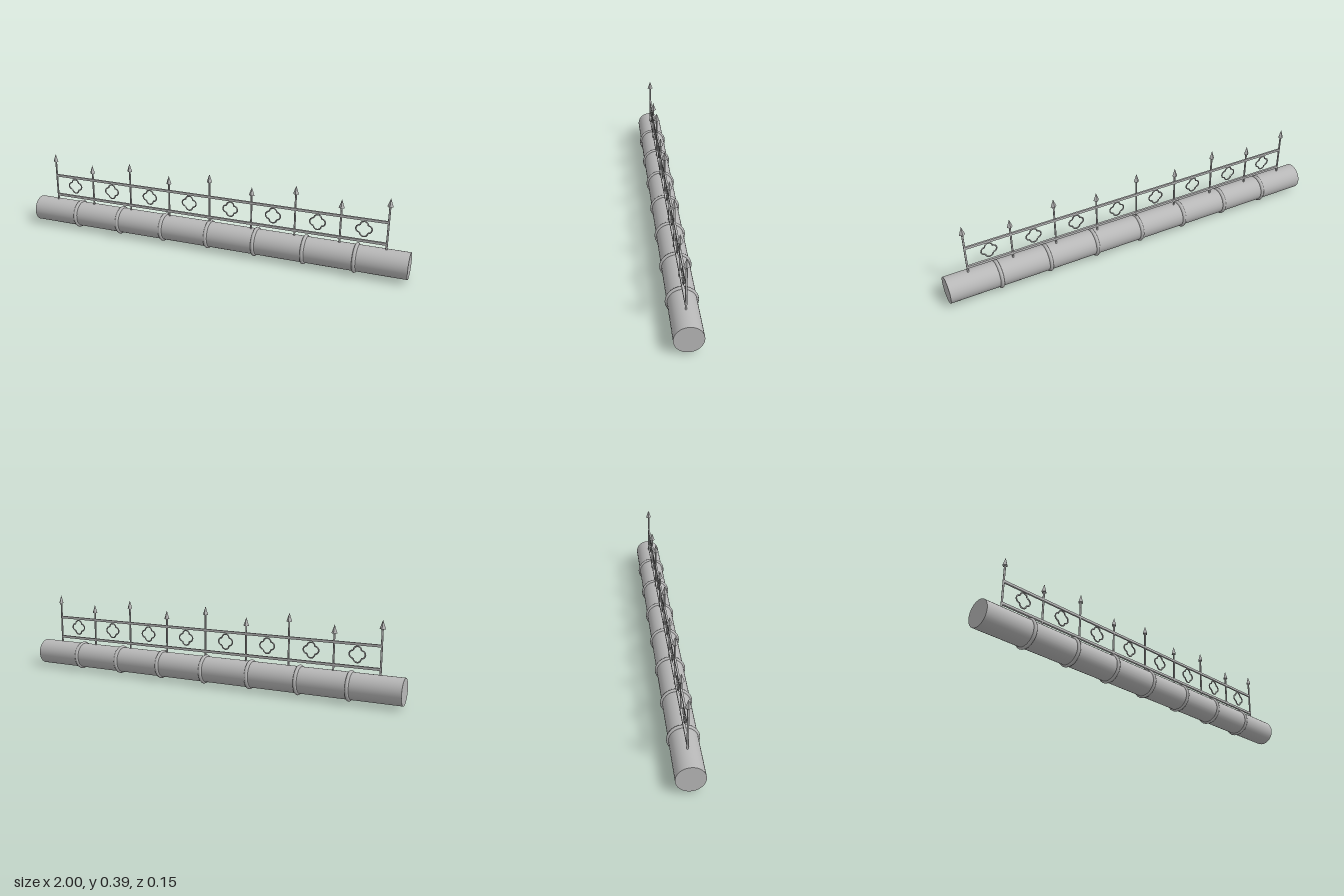
import * as THREE from 'three';

export function createModel() {
  const group = new THREE.Group();
  const metal = new THREE.MeshStandardMaterial({ color: 0xb8b8b8 });
  metal.name = 'grey metal';

  const add = (name, geometry, x, y, z = 0, parent = group) => {
    const mesh = new THREE.Mesh(geometry, metal);
    mesh.name = name;
    mesh.position.set(x, y, z);
    parent.add(mesh);
    return mesh;
  };

  const axisY = 0.074, pipeRadius = 0.065;

  // Ridge pipe lying along x
  const pipe = new THREE.CylinderGeometry(pipeRadius, pipeRadius, 2, 32).rotateZ(Math.PI / 2);
  add('ridgePipe', pipe, 0, axisY);

  // Rounded collars around the pipe
  const collar = new THREE.TorusGeometry(pipeRadius, 0.009, 8, 24).rotateY(Math.PI / 2);
  for (let i = -3; i <= 3; i++) add('pipeCollar', collar, i * 0.25, axisY);

  // Posts, alternately tall and short, with four-sided spear tips
  const spacing = 0.222, base = 0.13;
  const spear = new THREE.ConeGeometry(0.0145, 0.042, 4).toNonIndexed();
  spear.computeVertexNormals();
  for (let i = -4; i <= 4; i++) {
    const top = i % 2 === 0 ? 0.352 : 0.314;
    const post = new THREE.CylinderGeometry(0.0047, 0.0047, top - base, 8);
    add('post', post, i * spacing, (top + base) / 2);
    add('spearTip', spear, i * spacing, top + 0.021);
  }

  // Horizontal rails
  const railLength = spacing * 8;
  add('lowerRail', new THREE.BoxGeometry(railLength, 0.012, 0.011), 0, 0.166);
  add('upperRail', new THREE.BoxGeometry(railLength, 0.012, 0.009), 0, 0.274);

  // Quatrefoil ornaments: four half rings meeting at the corners of a square
  const lobeRadius = 0.019;
  const lobe = new THREE.TorusGeometry(lobeRadius, 0.0036, 6, 10, Math.PI);
  lobe.translate(0, lobeRadius, 0);
  for (let i = 0; i < 8; i++) {
    const ornament = new THREE.Group();
    ornament.name = 'quatrefoil';
    ornament.position.set((i - 3.5) * spacing, 0.225, 0);
    for (let k = 0; k < 4; k++) {
      add('quatrefoilLobe', lobe, 0, 0, 0, ornament).rotation.z = k * Math.PI / 2;
    }
    group.add(ornament);
  }

  return group;
}
